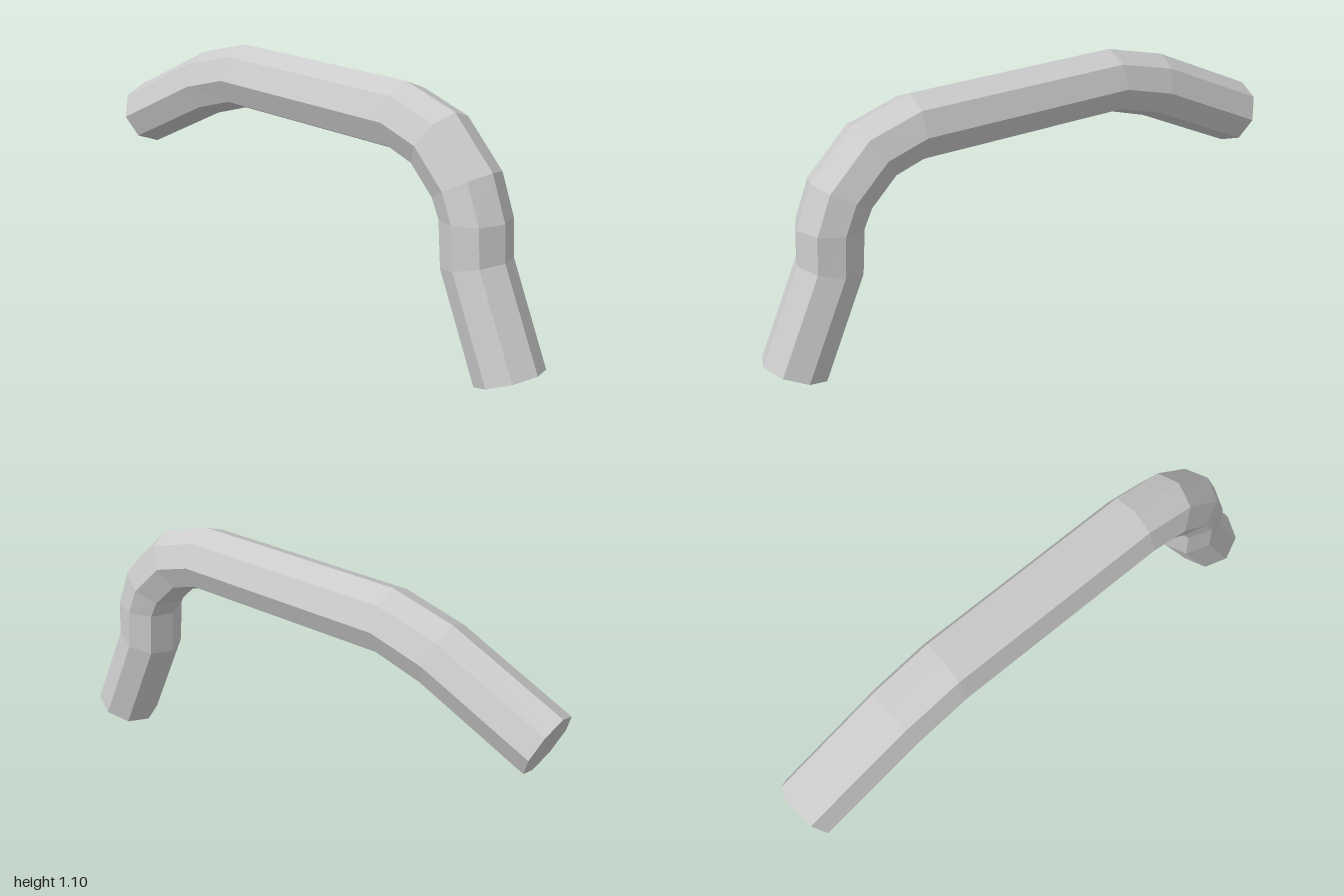
import * as THREE from 'three';

const RADIUS = 0.14;
const SIDES = 8;

// Rings along the bent bar: [x across, height, downward slope in degrees]
const rings = [
  [-0.917, 0.665, -22],
  [-0.53, 0.893, -18],
  [-0.34, 0.96, 0],
  [0.43, 0.96, 0],
  [0.57, 0.905, 32],
  [0.685, 0.76, 60],
  [0.725, 0.64, 86],
  [0.735, 0.465, 76],
  [0.88, 0.052, 68],
];

// Bend a straight octagonal cylinder so that each row follows its ring
function bentBar() {
  const rows = rings.length - 1;
  const cylinder = new THREE.CylinderGeometry(RADIUS, RADIUS, 1, SIDES, rows);
  const pos = cylinder.attributes.position;
  for (let i = 0; i < pos.count; i++) {
    const [x, y, slope] = rings[Math.round((pos.getY(i) + 0.5) * rows)];
    const a = THREE.MathUtils.degToRad(slope);
    const up = pos.getX(i);
    // The path lies in a diagonal plane, 0.8 of its length showing along x
    pos.setXYZ(i, x / 0.8 + up * Math.sin(a), y + up * Math.cos(a), -pos.getZ(i));
  }
  const geometry = cylinder.toNonIndexed();
  geometry.computeVertexNormals();
  return geometry;
}

export function createModel() {
  const group = new THREE.Group();
  group.name = 'bentPipe';
  const material = new THREE.MeshStandardMaterial({ color: 0xcccccc, flatShading: true });
  const bar = new THREE.Mesh(bentBar(), material);
  bar.name = 'pipe';
  // Turn the bend into its diagonal plane
  bar.rotation.y = -Math.atan2(0.6, 0.8);
  bar.position.z = 0.006;
  group.add(bar);
  return group;
}
